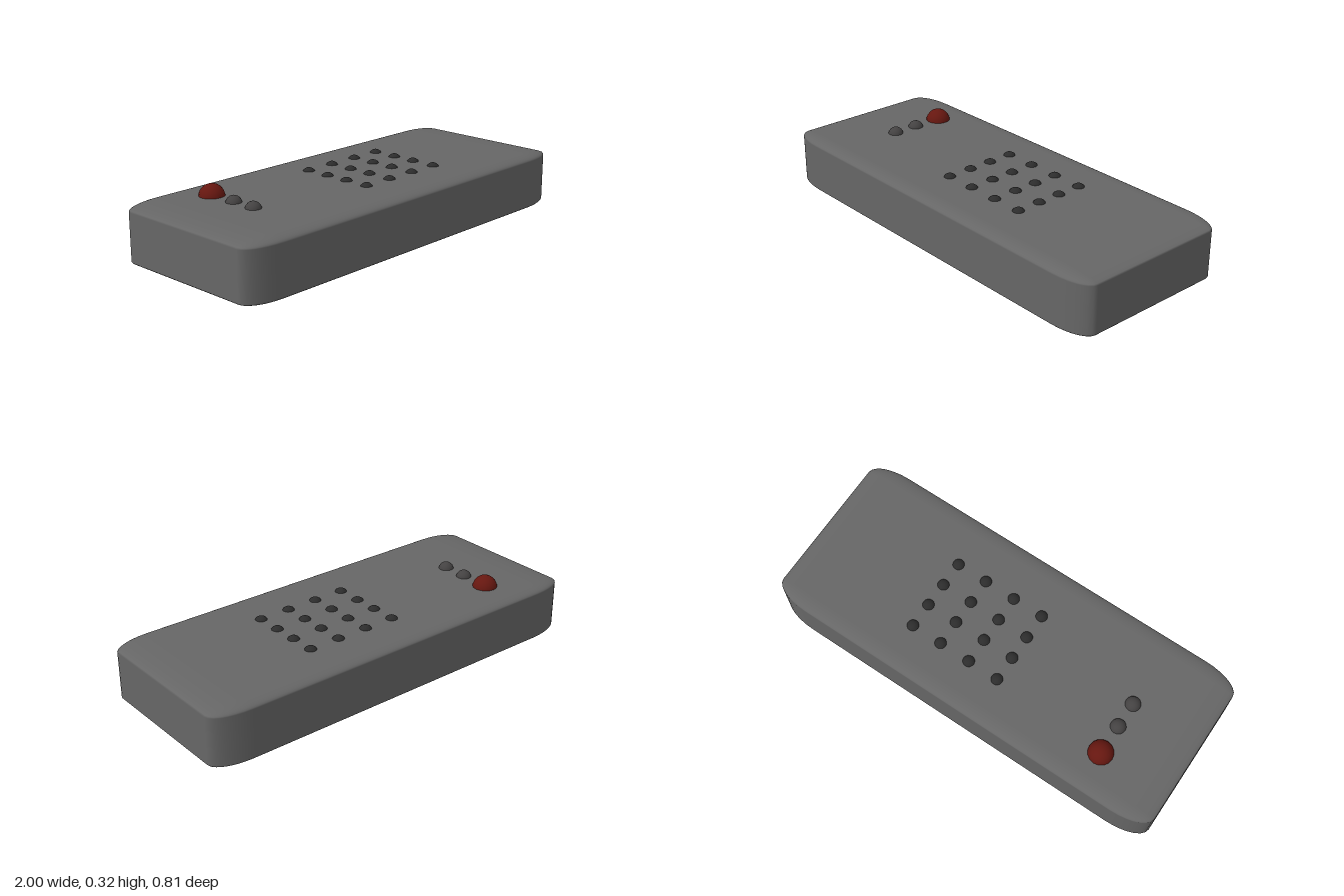
import * as THREE from 'three';
import { RoundedBoxGeometry } from 'three/addons/geometries/RoundedBoxGeometry.js';

export function createModel() {
  const group = new THREE.Group();
  const paint = (color) => new THREE.MeshStandardMaterial({ color });
  const add = (name, geometry, material, x, y, z, parent = group) => {
    const mesh = new THREE.Mesh(geometry, material);
    mesh.name = name;
    mesh.position.set(x, y, z);
    parent.add(mesh);
    return mesh;
  };

  // Case: a rounded cube stretched to size, so the edge rounding stretches too
  const height = 0.272;
  const caseGeometry = new RoundedBoxGeometry(1, 1, 1, 4, 0.092);
  caseGeometry.scale(2, height, 0.814);
  add('case', caseGeometry, paint(0x666666), 0, height / 2, 0);

  // Round buttons, sunk into the top of the case
  const button = (radius) => new THREE.SphereGeometry(radius, 16, 12);
  add('powerButton', button(0.059), paint(0x661710), -0.653, 0.266, -0.218);

  const smallButton = button(0.037);
  const smallPaint = paint(0x444242);
  for (const z of [-0.076, 0.047]) add('functionButton', smallButton, smallPaint, -0.653, 0.265, z);

  // Keypad: four by four
  const keypad = new THREE.Group();
  keypad.name = 'keypad';
  group.add(keypad);
  const key = button(0.032);
  const keyPaint = paint(0x2c2c2c);
  for (const x of [-0.091, 0.061, 0.214, 0.366]) {
    for (const z of [-0.193, -0.072, 0.046, 0.168]) add('key', key, keyPaint, x, 0.256, z, keypad);
  }

  return group;
}
